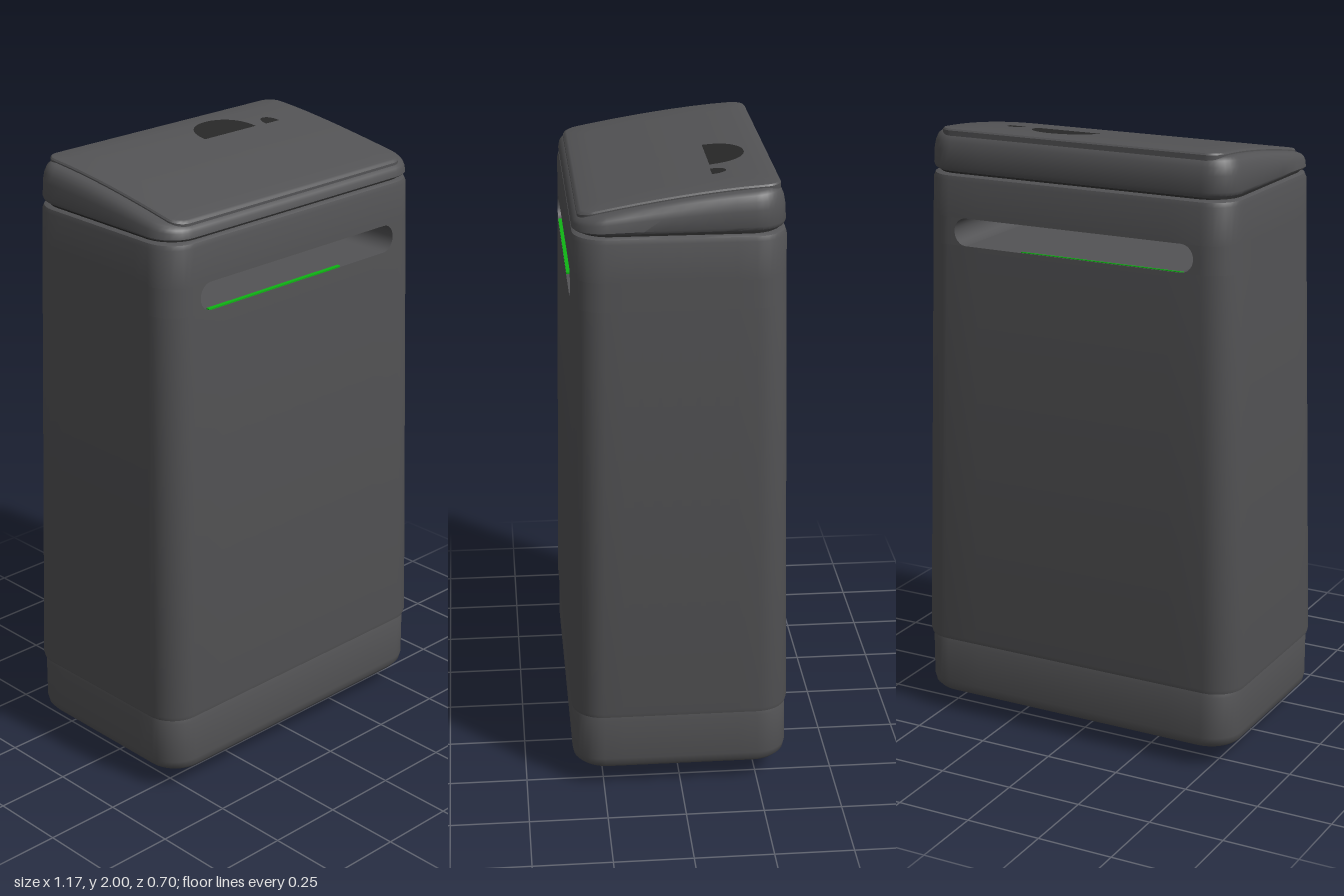
import * as THREE from 'three';
import { toCreasedNormals } from 'three/addons/utils/BufferGeometryUtils.js';

const mat = (name, color) => {
  const m = new THREE.MeshStandardMaterial({ color });
  m.name = name;
  return m;
};

// Rounded rectangle in x/z; straight runs are subdivided. With xi set, only the part beyond x = xi is kept.
function outline(hx, hz, r, xi) {
  const corners = [[1, 1, 0], [-1, 1, 1], [-1, -1, 2], [1, -1, 3]];
  const arc = ([sx, sz, q]) => Array.from({ length: 9 }, (_, i) => {
    const a = (q + i / 8) * Math.PI / 2;
    return [sx * (hx - r) + r * Math.cos(a), sz * (hz - r) + r * Math.sin(a)];
  });
  const runs = xi === undefined
    ? corners.map(arc)
    : [arc(corners[0]), [[xi, hz]], [[xi, -hz]], arc(corners[3])];
  const pts = [];
  runs.forEach((run, k) => {
    pts.push(...run);
    const a = run[run.length - 1], b = runs[(k + 1) % 4][0];
    for (let i = 1; i < 8; i++) pts.push([a[0] + (b[0] - a[0]) * i / 8, a[1] + (b[1] - a[1]) * i / 8]);
  });
  return pts;
}

// Skin through rings of [x, y, z] points, ordered from bottom to top
function loft(rings, crease = 0.6) {
  const n = rings[0].length, index = [];
  for (let j = 0; j < rings.length - 1; j++) {
    for (let i = 0; i < n; i++) {
      const a = j * n + i, a1 = j * n + (i + 1) % n;
      index.push(a, a + n, a1, a + n, a1 + n, a1);
    }
  }
  const g = new THREE.BufferGeometry();
  g.setAttribute('position', new THREE.Float32BufferAttribute(rings.flat(2), 3));
  g.setIndex(index);
  return toCreasedNormals(g, crease);
}

const level = (y, hx, hz, r = 0.1, s = 1) => outline(hx, hz, r).map(([x, z]) => [x * s, y, z * s]);

// Closed solid from [y, hx, hz] levels with flat ends
function solid(levels, r = 0.1) {
  const first = levels[0], last = levels[levels.length - 1];
  return loft([level(...first, r, 0), ...levels.map(l => level(...l, r)), level(...last, r, 0)]);
}

// Tapering half sizes of the body and the sloping height of the lid
const bodyAt = (y, inset = 0) => {
  const k = (y - 0.27) / 1.59;
  return [y, 0.583 - 0.04 * k - inset, 0.35 - 0.025 * k - inset];
};
const lidHeight = z => 2 - 0.085 * Math.pow(Math.max(0, (z + 0.3) / 0.62), 1.5);

export function createModel() {
  const group = new THREE.Group();
  const grey = mat('charcoal grey', 0x535355);
  const dark = mat('dark grey', 0x282828);
  const green = mat('green', 0x0fb414);
  const add = (name, geometry, material, x = 0, y = 0, z = 0) => {
    const m = new THREE.Mesh(geometry, material);
    m.name = name;
    m.position.set(x, y, z);
    group.add(m);
    return m;
  };

  // Base tray with a rounded lower edge
  add('base', solid([
    [0.07, 0.548, 0.322], [0.075, 0.56, 0.335], [0.088, 0.57, 0.344],
    [0.11, 0.574, 0.348], [0.25, 0.575, 0.346], [0.27, 0.571, 0.341],
  ]), grey);
  add('undersidePlate', solid([[0.065, 0.535, 0.31], [0.07, 0.535, 0.31]]), dark);

  // Round feet
  for (const s of [-1, 1]) {
    const foot = new THREE.SphereGeometry(0.06, 24, 16);
    foot.scale(1, 1.1, 1);
    add(s > 0 ? 'leftFoot' : 'rightFoot', foot, grey, s * 0.348, 0.066, 0);
  }

  // Body below and above the through slot
  const slotBottom = 1.63, slotTop = 1.72;
  add('lowerBody', solid([
    bodyAt(0.262, 0.012), bodyAt(0.266, 0.003), bodyAt(0.28), bodyAt(slotBottom),
  ]), grey);
  add('upperBody', solid([
    bodyAt(slotTop), bodyAt(1.838), bodyAt(1.852, 0.004), bodyAt(1.858, 0.013),
  ]), grey);

  // Solid ends of the slot, rounded on the inside
  const endRings = Array.from({ length: 13 }, (_, i) => {
    const a = -Math.PI / 2 + Math.PI * i / 12;
    const y = (slotBottom + slotTop) / 2 + Math.sin(a) * (slotTop - slotBottom) / 2;
    const [, hx, hz] = bodyAt(y);
    return outline(hx, hz, 0.1, 0.382 + 0.042 * Math.cos(a)).map(([x, z]) => [x, y, z]);
  });
  const endGeometry = loft(endRings);
  add('leftSlotEnd', endGeometry, grey);
  add('rightSlotEnd', endGeometry, grey).rotation.y = Math.PI;

  // Green lining on the slot ceiling and thin lines along its lower edges
  add('slotCeiling', new THREE.BoxGeometry(0.78, 0.004, 0.6), green, 0, 1.719, 0);
  add('frontSlotLine', new THREE.BoxGeometry(0.57, 0.006, 0.012), green, -0.105, 1.632, 0.322);
  add('backSlotLine', new THREE.BoxGeometry(0.57, 0.003, 0.006), green, -0.105, 1.631, -0.322);

  // Recessed seam under the lid
  add('seam', solid([[1.85, 0.527, 0.307], [1.88, 0.527, 0.307]]), dark);

  // Lid shell: rings rise from the seam to a sloping top set just under the panel
  const lidRing = (t, inset, s = 1, drop = 0.011) =>
    outline(0.543 - inset, 0.322 - inset, 0.1 - inset).map(([x, z]) => {
      const base = 1.864, top = lidHeight(z * s) - drop;
      return [x * s, base + t * (top - base), z * s];
    });
  add('lid', loft([
    lidRing(0, 0, 0), lidRing(0, 0.014), lidRing(0.06, 0.004), lidRing(0.15, 0),
    lidRing(0.55, 0.003), lidRing(0.75, 0.008), lidRing(0.9, 0.017), lidRing(0.98, 0.03),
    lidRing(1, 0.042), ...[0.75, 0.5, 0.25, 0].map(s => lidRing(1, 0.042, s)),
  ]), grey);

  // Slightly raised panel following the slope of the lid
  const panelRing = (lift, inset, s = 1) =>
    outline(0.495 - inset, 0.305 - inset, 0.05 - inset).map(([x, z]) =>
      [x * s, lidHeight(z * s) + lift, z * s]);
  add('lidPanel', loft([
    panelRing(-0.025, 0), panelRing(-0.007, 0), panelRing(-0.002, 0.004), panelRing(0, 0.012),
    ...[0.8, 0.6, 0.4, 0.2, 0].map(s => panelRing(0, 0.012, s)),
  ]), grey);

  // Dark inlays on the lid: half-round outlines with a flat front edge
  const inlay = (name, cx, front, rx, depth) => {
    const shape = new THREE.Shape(Array.from({ length: 25 }, (_, i) => {
      const a = Math.PI * i / 24;
      return new THREE.Vector2(cx + rx * Math.cos(a), -front + depth * Math.pow(Math.sin(a), 0.85));
    }));
    const g = new THREE.ShapeGeometry(shape);
    g.rotateX(-Math.PI / 2);
    const p = g.attributes.position;
    for (let i = 0; i < p.count; i++) p.setY(i, lidHeight(p.getZ(i)) + 0.003);
    g.computeVertexNormals();
    add(name, g, dark);
  };
  inlay('largeInlay', 0.123, -0.113, 0.113, 0.119);
  inlay('smallInlay', 0.31, -0.11, 0.03, 0.046);

  return group;
}
